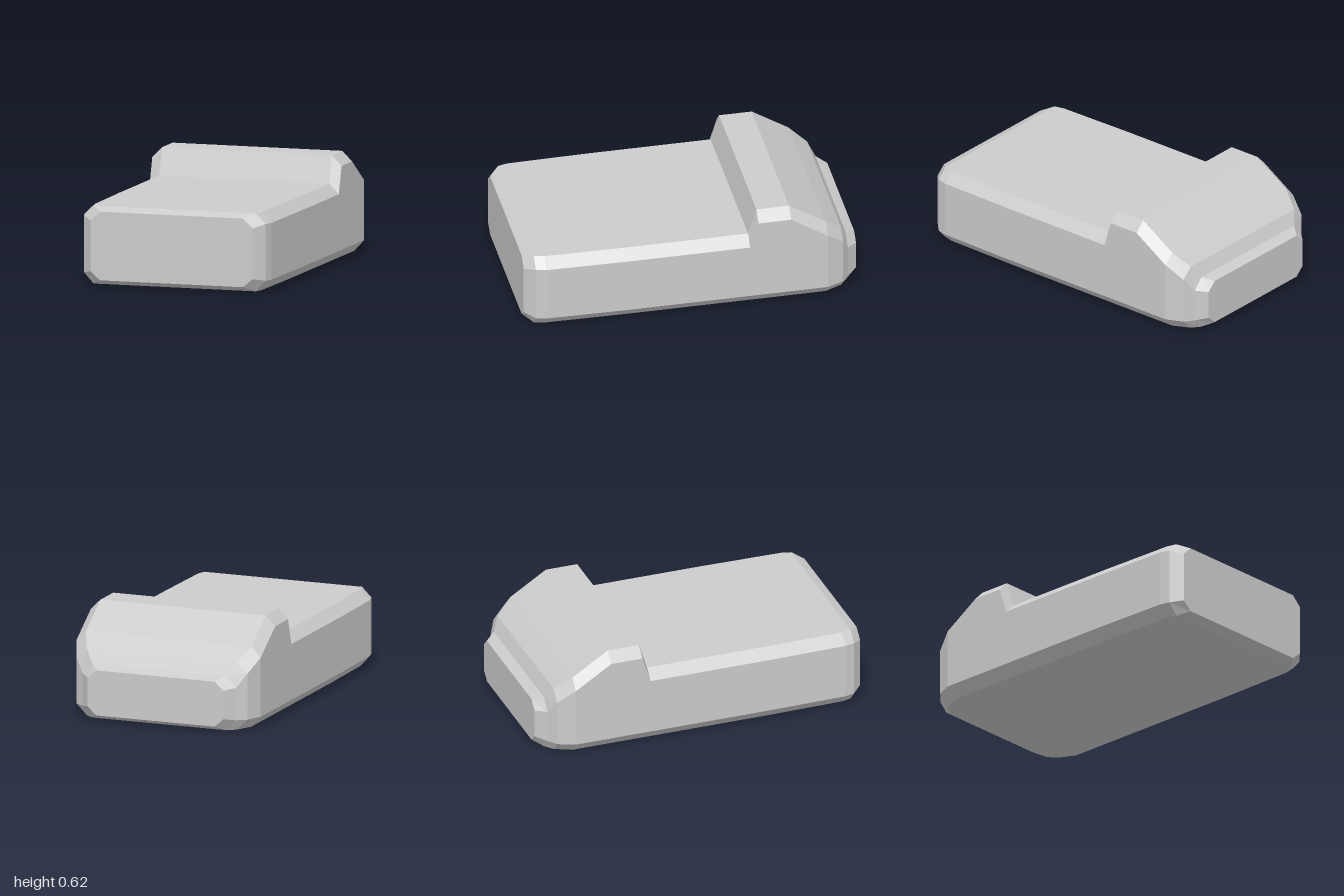
import * as THREE from 'three';

// Chamfered cross-sections from back to front:
// [z, half width, half width of top/bottom, bottom, lower shoulder, upper shoulder, top]
const SECTIONS = [
  [-1.00, 0.43, 0.375, 0.03, 0.08, 0.25, 0.30],
  [-0.94, 0.485, 0.425, 0, 0.065, 0.26, 0.325],
  [-0.90, 0.54, 0.475, 0, 0.065, 0.34, 0.40],
  [-0.80, 0.583, 0.523, 0, 0.065, 0.42, 0.48],
  [-0.58, 0.583, 0.523, 0, 0.065, 0.56, 0.62],
  [-0.385, 0.583, 0.523, 0, 0.065, 0.56, 0.62],
  [-0.335, 0.583, 0.523, 0, 0.065, 0.40, 0.46],
  [0.40, 0.583, 0.523, 0, 0.065, 0.40, 0.46],
  [0.88, 0.575, 0.515, 0, 0.065, 0.40, 0.46],
  [0.94, 0.56, 0.50, 0, 0.065, 0.40, 0.46],
  [1.00, 0.50, 0.44, 0.03, 0.08, 0.38, 0.435],
];

// Eight corners, counter-clockwise seen from the front
function ring([z, w, c, y0, y1, y2, y3]) {
  return [[w, y1], [w, y2], [c, y3], [-c, y3], [-w, y2], [-w, y1], [-c, y0], [c, y0]]
    .map(([x, y]) => [x, y, z]);
}

function loft(rings) {
  const n = rings[0].length;
  const last = rings.length - 1;
  const index = [];
  for (let i = 0; i < last; i++) {
    for (let j = 0; j < n; j++) {
      const a = i * n + j, b = i * n + (j + 1) % n;
      index.push(a, b, b + n, a, b + n, a + n);
    }
  }
  // End caps
  for (let j = 1; j < n - 1; j++) {
    index.push(0, j + 1, j);
    index.push(last * n, last * n + j, last * n + j + 1);
  }
  const geometry = new THREE.BufferGeometry();
  geometry.setAttribute('position', new THREE.Float32BufferAttribute(rings.flat(2), 3));
  geometry.setIndex(index);
  const faceted = geometry.toNonIndexed();
  faceted.computeVertexNormals();
  return faceted;
}

export function createModel() {
  const group = new THREE.Group();
  const material = new THREE.MeshStandardMaterial({ color: 0xcccccc, flatShading: true });

  // Bevelled body with the raised hump at the back
  const body = new THREE.Mesh(loft(SECTIONS.map(ring)), material);
  body.name = 'body';
  group.add(body);
  return group;
}
